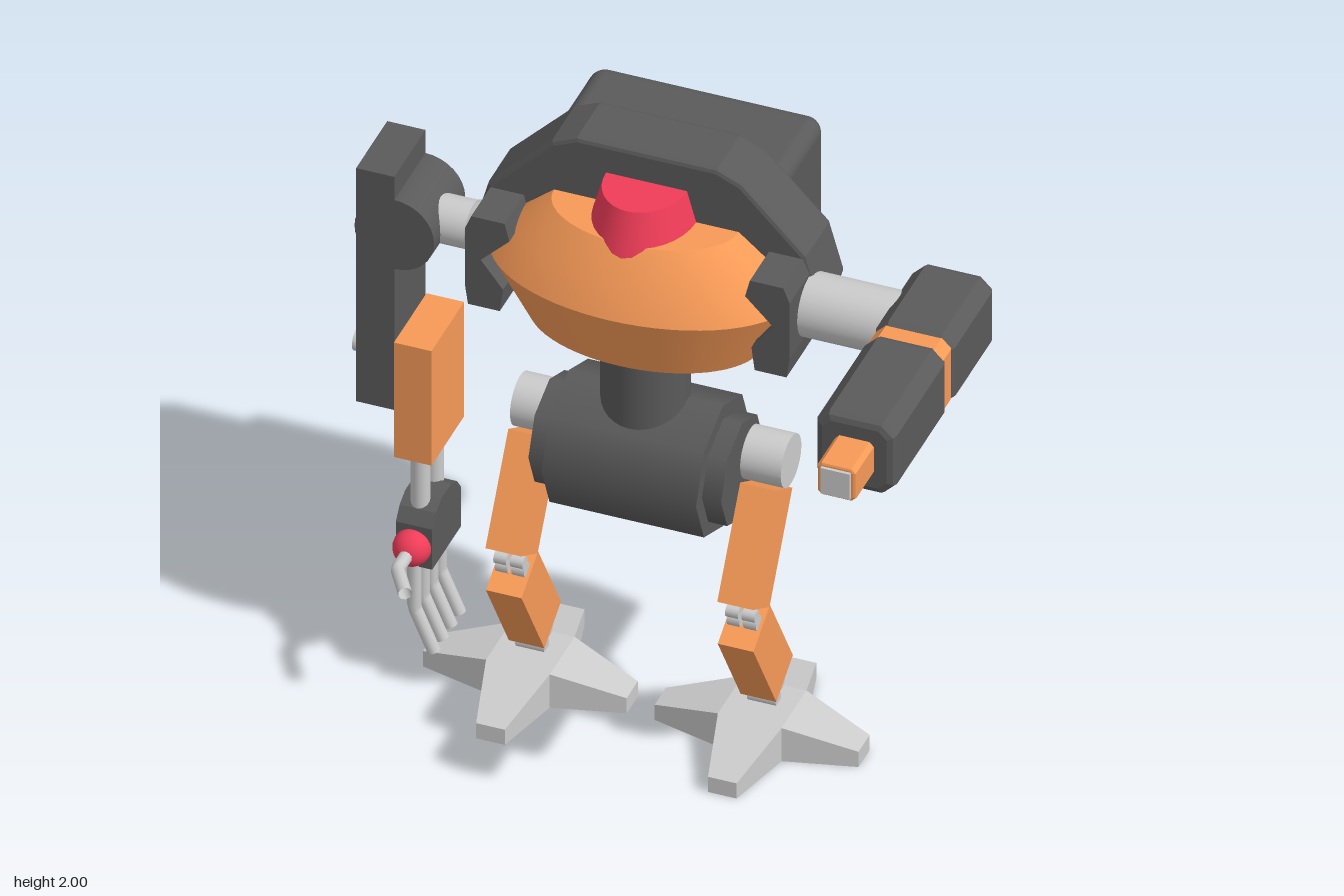
import * as THREE from 'three';
import { toCreasedNormals } from 'three/addons/utils/BufferGeometryUtils.js';
import { RoundedBoxGeometry } from 'three/addons/geometries/RoundedBoxGeometry.js';

const mat = (color) => new THREE.MeshStandardMaterial({ color });
const light = mat(0xcccccc), dark = mat(0x5a5a5a), orange = mat(0xf79a57), red = mat(0xf03c58);
const CX = -0.065; // the body sits slightly off the overall centre

function add(parent, name, geo, material, x = 0, y = 0, z = 0) {
  const m = new THREE.Mesh(geo, material);
  m.name = name;
  m.position.set(x, y, z);
  parent.add(m);
  return m;
}
const box = (w, h, d) => new THREE.BoxGeometry(w, h, d);
const cylX = (r, len, n = 32, r2 = r) => new THREE.CylinderGeometry(r2, r, len, n).rotateZ(-Math.PI / 2);
const cylY = (r, len, n = 32) => new THREE.CylinderGeometry(r, r, len, n);

// Outline in x/y, extruded from z0 to z1 with an optional chamfer
function prism(points, z0, z1, bevel = 0) {
  const shape = new THREE.Shape(points.map(([x, y]) => new THREE.Vector2(x, y)));
  return new THREE.ExtrudeGeometry(shape, {
    depth: z1 - z0 - 2 * bevel, bevelEnabled: bevel > 0, bevelThickness: bevel,
    bevelSize: bevel, bevelOffset: -bevel, bevelSegments: 2,
  }).translate(0, 0, z0 + bevel);
}

// Box with cut corners all round, along z
function chamferBox(w, h, z0, z1, c) {
  const a = w / 2, b = h / 2;
  return prism([[a, -b + c], [a, b - c], [a - c, b], [-a + c, b], [-a, b - c], [-a, -b + c], [-a + c, -b], [a - c, -b]], z0, z1, c * 0.6);
}

// Bent rod with straight segments and a closed end
function rod(points, r) {
  const g = new THREE.CurvePath();
  const v = points.map((p) => new THREE.Vector3(...p));
  for (let i = 1; i < v.length; i++) g.add(new THREE.LineCurve3(v[i - 1], v[i]));
  return new THREE.TubeGeometry(g, 16, r, 10);
}

// Four-pointed foot, hollow underneath
function footGeometry() {
  const P = (along, side, y, k) => {
    const a = (k * Math.PI) / 2, c = Math.cos(a), s = Math.sin(a);
    return [along * c - side * s, y, -(along * s + side * c)];
  };
  const pos = [];
  const tri = (...p) => p.forEach((q) => pos.push(...q));
  const quad = (a, b, c, d) => { tri(a, b, c); tri(a, c, d); };
  for (let k = 0; k < 4; k++) {
    const [i0, t0, t1, i1] = [[0.1, -0.1, 0.12], [0.32, -0.045, 0.055], [0.32, 0.045, 0.055], [0.1, 0.1, 0.12]].map((p) => P(...p, k));
    const [j0, u0, u1, j1] = [i0, t0, t1, i1].map((p) => [p[0], 0, p[2]]);
    tri([0, 0.12, 0], i0, i1);
    quad(i0, t0, t1, i1);
    quad(j0, u0, t0, i0);
    quad(u0, u1, t1, t0);
    quad(u1, j1, i1, t1);
    const m = [0, 0.05, 0];
    tri(m, u0, j0);
    tri(m, u1, u0);
    tri(m, j1, u1);
  }
  const g = new THREE.BufferGeometry();
  g.setAttribute('position', new THREE.Float32BufferAttribute(pos, 3));
  g.computeVertexNormals();
  return g;
}

function buildTorso() {
  const torso = new THREE.Group();
  torso.name = 'torso';
  torso.position.x = CX;
  // Lens-shaped front hull
  const profile = [[0, 1.385], [0.36, 1.385], [0.48, 1.6], [0.405, 1.7], [0.29, 1.795], [0, 1.795]].map((p) => new THREE.Vector2(...p));
  const hull = new THREE.LatheGeometry(profile, 32, -Math.PI / 2, Math.PI).scale(1, 1, 0.62);
  add(torso, 'frontHull', toCreasedNormals(hull, 0.35), orange, 0, 0, -0.11);
  // Tapered eye set into the hull
  const eye = new THREE.CylinderGeometry(0.127, 0.21, 0.3, 32).scale(1, 1, 1.24);
  add(torso, 'eye', eye, red, 0, 1.75, -0.11).geometry.translate(0, 0, 0);
  // Back plate
  const half = [[0.36, 1.39], [0.5, 1.45], [0.545, 1.6], [0.5, 1.76], [0.3, 1.965], [0.22, 2.0]];
  const outline = [...half, ...half.map(([x, y]) => [-x, y]).reverse()];
  add(torso, 'backPlate', prism(outline, -0.31, -0.11, 0.015), dark);
  // Notched shoulder guards
  const guard = [[0.5, 1.43], [0.51, 1.5], [0.51, 1.7], [0.49, 1.75], [0.385, 1.75], [0.37, 1.69], [0.46, 1.6], [0.39, 1.51], [0.4, 1.43]];
  for (const s of [1, -1]) {
    const pts = guard.map(([x, y]) => [x * s, y]);
    add(torso, s > 0 ? 'leftShoulderGuard' : 'rightShoulderGuard', prism(pts, -0.2, 0.045), dark);
  }
  // Backpack and its vents
  add(torso, 'backpack', new RoundedBoxGeometry(0.725, 0.405, 0.4, 4, 0.05), dark, 0, 1.692, -0.425);
  for (const x of [-0.12, 0, 0.12]) {
    add(torso, 'vent', cylX(1, 0.094, 32).scale(1, 0.16, 0.08), red, x - CX, 1.692, -0.61);
  }
  add(torso, 'waist', cylY(0.133, 0.35), dark, 0, 1.24, -0.103);
  return torso;
}

function buildPelvis() {
  const pelvis = new THREE.Group();
  pelvis.name = 'pelvis';
  pelvis.position.set(CX, 0.938, -0.105);
  add(pelvis, 'hipBarrel', cylX(0.218, 0.485, 8), dark);
  add(pelvis, 'hipFlange', cylX(0.17, 0.605, 8), dark);
  add(pelvis, 'hipAxle', cylX(0.083, 0.85), light, 0.005, 0.024, -0.066);
  return pelvis;
}

function buildLeg(name, x) {
  const leg = new THREE.Group();
  leg.name = name;
  leg.position.x = x;
  const tilt = 0.54;
  add(leg, 'thigh', box(0.112, 0.358, 0.155), orange, 0, 0.733, -0.036).rotation.x = -tilt;
  add(leg, 'shin', box(0.112, 0.358, 0.155), orange, 0, 0.351, -0.04).rotation.x = tilt;
  // Paired knee and ankle links
  for (const s of [-0.026, 0.026]) {
    add(leg, 'kneeLink', cylY(0.013, 0.12, 10), light, s, 0.545, 0.05);
    add(leg, 'kneeJoint', cylX(0.024, 0.04, 12), light, s, 0.52, 0.05);
    add(leg, 'kneeJoint', cylX(0.02, 0.04, 12), light, s, 0.555, 0.066);
    add(leg, 'ankleLink', cylY(0.016, 0.14, 10), light, s, 0.15, -0.12).rotation.x = 0.3;
    add(leg, 'ankleJoint', cylX(0.022, 0.034, 12), light, s, 0.17, -0.145);
  }
  add(leg, 'anklePin', cylX(0.022, 0.09, 12), light, 0, 0.135, -0.11);
  add(leg, 'foot', footGeometry(), light, 0, 0.003, -0.095);
  return leg;
}

function buildCannonArm() {
  const arm = new THREE.Group();
  arm.name = 'leftCannonArm';
  arm.position.set(0.84, 1.592, 0);
  add(arm, 'armAxle', cylX(0.1, 0.36), light, -0.28, 0, -0.115);
  add(arm, 'rearHousing', chamferBox(0.25, 0.255, -0.275, 0.065, 0.04), dark);
  add(arm, 'band', chamferBox(0.235, 0.24, 0.04, 0.135, 0.03), orange);
  add(arm, 'frontHousing', chamferBox(0.25, 0.255, 0.108, 0.535, 0.04), dark);
  add(arm, 'nozzle', chamferBox(0.122, 0.118, 0.5, 0.68, 0.014), orange);
  add(arm, 'muzzle', box(0.092, 0.092, 0.05), light, 0, 0, 0.665);
  return arm;
}

function buildHandArm() {
  const arm = new THREE.Group();
  arm.name = 'rightHandArm';
  const z = -0.115;
  add(arm, 'armAxle', cylX(0.075, 0.2), light, -0.64, 1.595, z);
  add(arm, 'axleCollar', cylX(0.068, 0.09, 32, 0.1), light, -0.585, 1.595, z);
  add(arm, 'shoulderDisc', cylY(0.125, 0.25).rotateX(Math.PI / 2), dark, -0.81, 1.592, z);
  add(arm, 'upperArm', box(0.12, 0.845, 0.25), dark, -0.87, 1.378, z);
  // Elbow bolt on the outer face
  add(arm, 'elbowBolt', cylX(0.065, 0.025, 20), light, -0.94, 1.085, z);
  add(arm, 'elbowBoltHead', cylX(0.036, 0.05, 20), light, -0.953, 1.085, z);
  add(arm, 'forearm', box(0.118, 0.415, 0.262), orange, -0.75, 0.997, z);
  for (const dz of [-0.055, 0.055]) add(arm, 'wristRod', cylY(0.029, 0.26, 20), light, -0.755, 0.68, z + dz);
  // Palm with a rounded top, seen from the side
  const palm = [[-0.115, 0.4], [0.115, 0.4], [0.115, 0.545], [0.085, 0.585], [0.04, 0.608], [-0.04, 0.608], [-0.085, 0.585], [-0.115, 0.545]];
  add(arm, 'palm', prism(palm, -0.057, 0.057).rotateY(Math.PI / 2), dark, -0.752, 0, z);
  add(arm, 'thumbJoint', new THREE.SphereGeometry(0.058, 24, 16), red, -0.755, 0.472, 0.008);
  const side = { r: 0.021 };
  add(arm, 'thumb', rod([[-0.755, 0.472, 0.04], [-0.755, 0.472, 0.125], [-0.69, 0.472, 0.23]], side.r), light).material.side = THREE.DoubleSide;
  for (let i = 0; i < 4; i++) {
    const fz = -0.01 - i * 0.068;
    add(arm, 'finger', rod([[-0.755, 0.42, fz], [-0.755, 0.245, fz], [-0.693, 0.1, fz]], side.r), light);
  }
  return arm;
}

export function createModel() {
  const model = new THREE.Group();
  model.name = 'walkerRobot';
  model.add(buildTorso(), buildPelvis(), buildCannonArm(), buildHandArm());
  model.add(buildLeg('rightLeg', -0.424), buildLeg('leftLeg', 0.304));
  return model;
}
